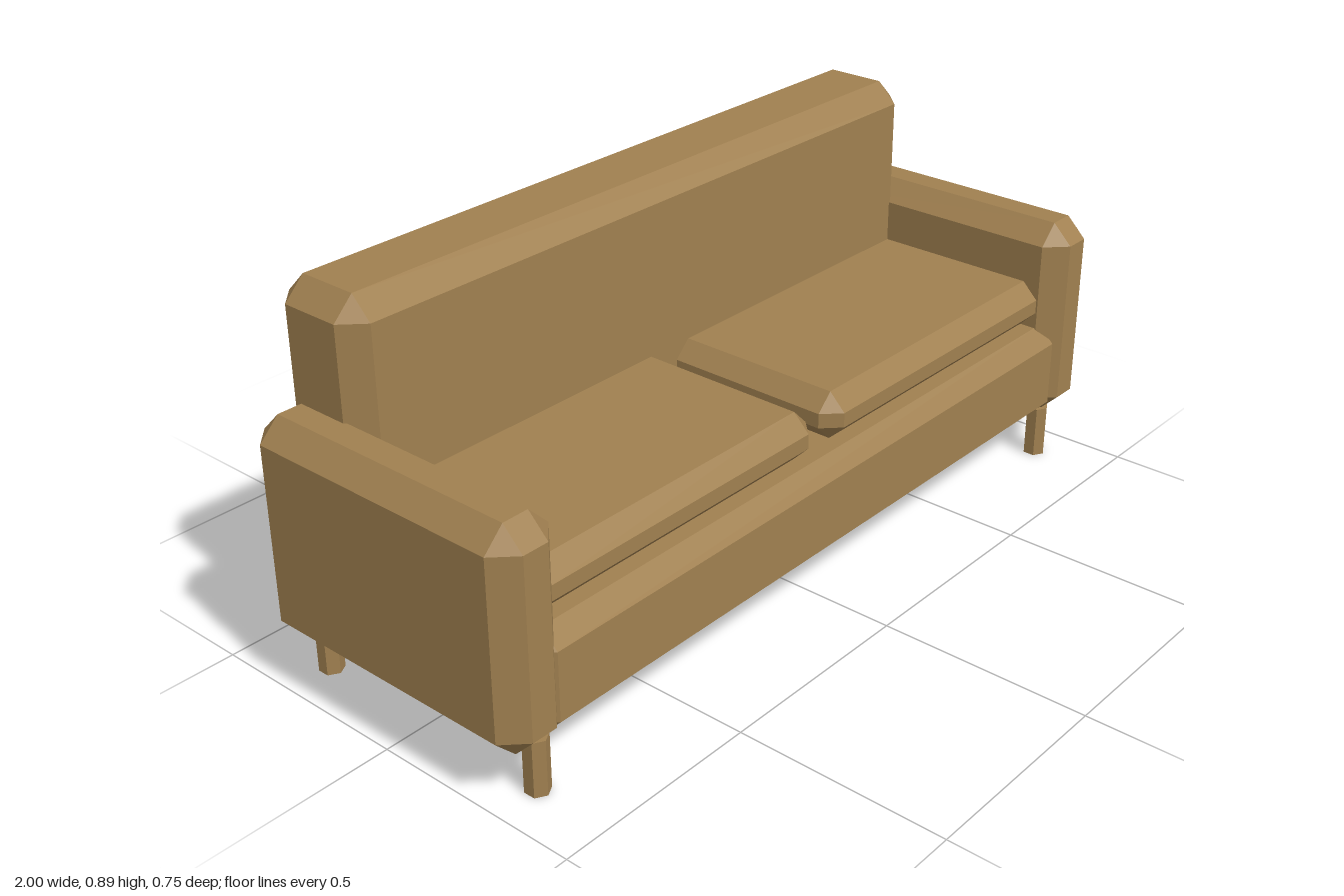
import * as THREE from 'three';
import { ConvexGeometry } from 'three/addons/geometries/ConvexGeometry.js';

// Box between two corners with every edge cut at 45 degrees
function chamferBox([x0, y0, z0], [x1, y1, z1], bevel) {
  const centre = new THREE.Vector3((x0 + x1) / 2, (y0 + y1) / 2, (z0 + z1) / 2);
  const hx = (x1 - x0) / 2, hy = (y1 - y0) / 2, hz = (z1 - z0) / 2;
  const points = [];
  for (const sx of [-1, 1]) for (const sy of [-1, 1]) for (const sz of [-1, 1]) {
    for (let axis = 0; axis < 3; axis++) {
      // each corner becomes three points, one on each neighbouring face
      const inset = [0, 1, 2].map((i) => (i === axis ? 0 : bevel));
      points.push(new THREE.Vector3(
        sx * (hx - inset[0]), sy * (hy - inset[1]), sz * (hz - inset[2])).add(centre));
    }
  }
  return new ConvexGeometry(points);
}

export function createModel() {
  const sofa = new THREE.Group();
  sofa.name = 'sofa';
  const tan = new THREE.MeshStandardMaterial({ color: 0xa08050 });
  tan.name = 'tan';

  const add = (name, geometry) => {
    const mesh = new THREE.Mesh(geometry, tan);
    mesh.name = name;
    sofa.add(mesh);
    return mesh;
  };

  // Body
  add('seatBase', chamferBox([-0.905, 0.125, -0.343], [0.905, 0.365, 0.36], 0.04));
  add('backrest', chamferBox([-0.893, 0.28, -0.373], [0.893, 0.89, -0.13], 0.049));

  // Hexagonal leg with flat sides
  const legGeometry = new THREE.CylinderGeometry(0.028, 0.028, 0.13, 6).toNonIndexed();
  legGeometry.computeVertexNormals();

  // Arms, cushions and legs on both sides
  for (const [side, s] of [['left', 1], ['right', -1]]) {
    const sided = (xa, xb) => [Math.min(s * xa, s * xb), Math.max(s * xa, s * xb)];
    const [a0, a1] = sided(0.839, 1);
    add(side + 'Arm', chamferBox([a0, 0.123, -0.356], [a1, 0.63, 0.373], 0.049));

    const [c0, c1] = sided(0.023, 0.88);
    add(side + 'Cushion', chamferBox([c0, 0.365, -0.2], [c1, 0.48, 0.32], 0.04));

    for (const [end, z] of [['Front', 0.317], ['Back', -0.3]]) {
      add(side + end + 'Leg', legGeometry).position.set(s * 0.892, 0.065, z);
    }
  }
  return sofa;
}
